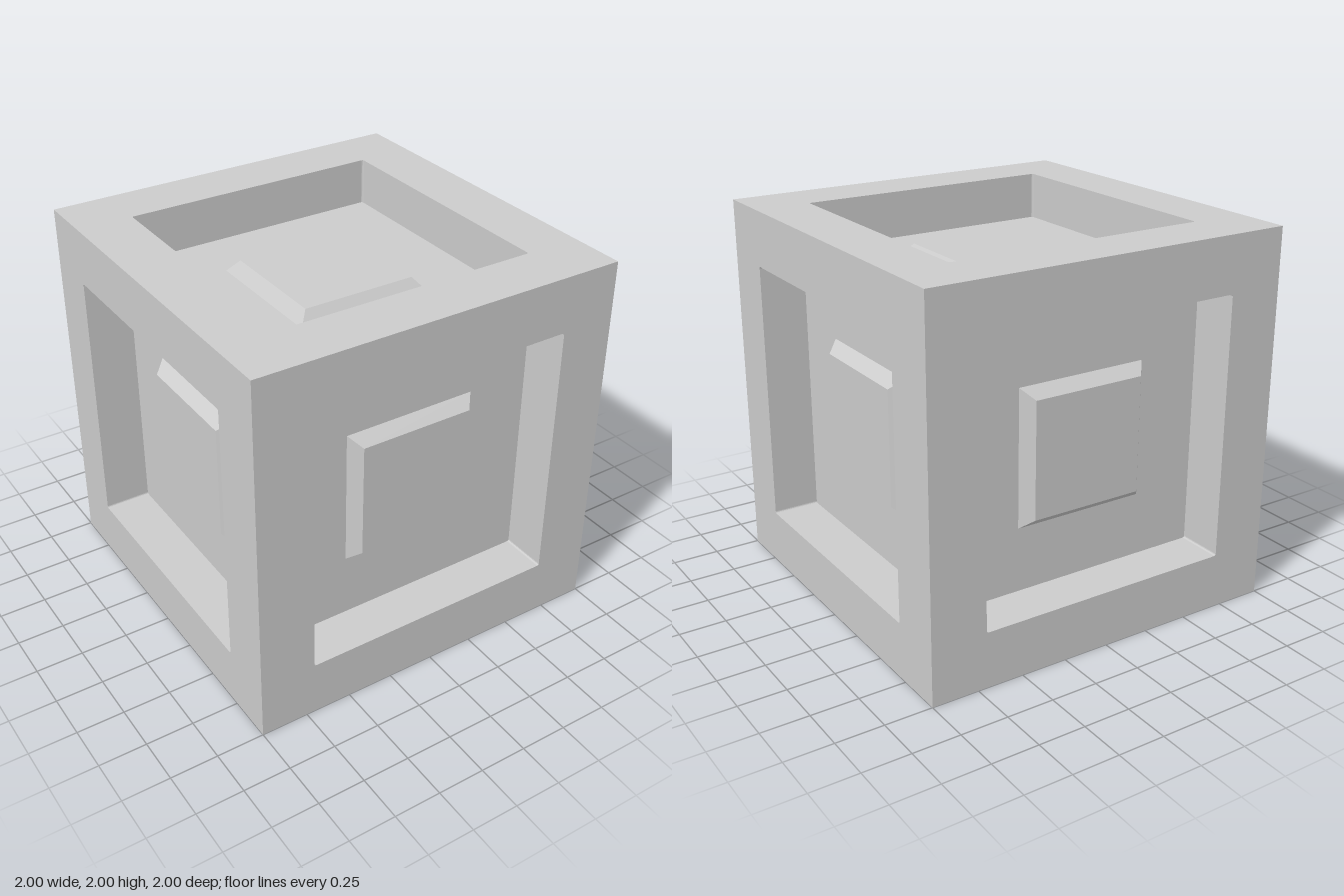
import * as THREE from 'three';

const SEGMENTS = 3; // steps around each small corner radius

// Square loop (counter-clockwise) with rounded corners at height z
function squareLoop({ half, radius = 0, z }) {
  const points = [];
  for (let corner = 0; corner < 4; corner++) {
    const mid = Math.PI / 4 + corner * Math.PI / 2;
    const cx = Math.sign(Math.cos(mid)) * (half - radius);
    const cy = Math.sign(Math.sin(mid)) * (half - radius);
    for (let i = 0; i <= SEGMENTS; i++) {
      const a = (corner + i / SEGMENTS) * Math.PI / 2;
      points.push(new THREE.Vector3(cx + radius * Math.cos(a), cy + radius * Math.sin(a), z));
    }
  }
  return points;
}

// Skin between successive loops, running from the outside inwards
function loft(...sections) {
  const positions = [];
  const addTriangle = (a, b, c) => {
    if (new THREE.Triangle(a, b, c).getArea() < 1e-9) return;
    for (const p of [a, b, c]) positions.push(p.x, p.y, p.z);
  };
  const loops = sections.map(squareLoop);
  for (let s = 0; s < loops.length - 1; s++) {
    const outer = loops[s], inner = loops[s + 1];
    for (let i = 0; i < outer.length; i++) {
      const j = (i + 1) % outer.length;
      addTriangle(outer[i], outer[j], inner[j]);
      addTriangle(outer[i], inner[j], inner[i]);
    }
  }
  const geometry = new THREE.BufferGeometry();
  geometry.setAttribute('position', new THREE.Float32BufferAttribute(positions, 3));
  geometry.computeVertexNormals();
  return geometry;
}

export function createModel() {
  const model = new THREE.Group();
  model.name = 'recessedCube';
  const material = new THREE.MeshStandardMaterial({ color: 0xcccccc, flatShading: true });

  // Cross-sections of one cube face, from its edge to its centre
  const edge = { half: 1, z: 1 };
  const opening = { half: 0.703, radius: 0.01, z: 1 };
  const floorEdge = { ...opening, z: 0.75 };
  const bossBase = { half: 0.3625, z: 0.75 };
  const bossTop = { half: 0.308, z: 0.815 };
  const bossCentre = { half: 0, z: 0.815 };

  const parts = {
    rim: loft(edge, opening),
    recessWall: loft(opening, floorEdge),
    recessFloor: loft(floorEdge, bossBase),
    bevelledBoss: loft(bossBase, bossTop, bossCentre),
  };

  // The same face turned to all six sides
  const q = Math.PI / 2;
  const sides = {
    front: [0, 0], left: [0, q], back: [0, 2 * q], right: [0, -q],
    top: [-q, 0], bottom: [q, 0],
  };
  for (const [side, [rx, ry]] of Object.entries(sides)) {
    const face = new THREE.Group();
    face.name = `${side}Face`;
    face.rotation.set(rx, ry, 0);
    face.position.y = 1;
    for (const [name, geometry] of Object.entries(parts)) {
      const mesh = new THREE.Mesh(geometry, material);
      mesh.name = name;
      face.add(mesh);
    }
    model.add(face);
  }
  return model;
}
